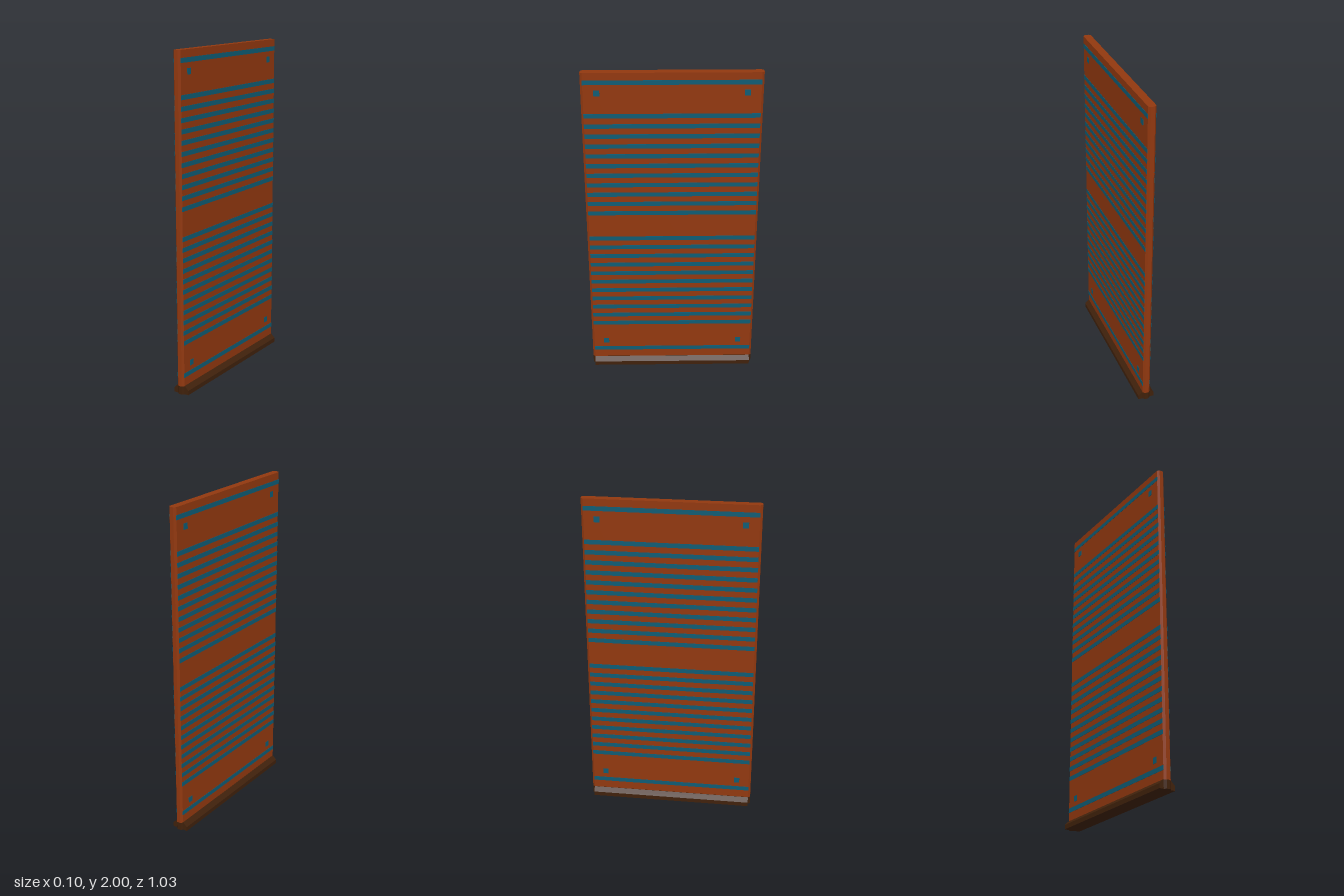
import * as THREE from 'three';

const HALF_T = 0.023, HALF_W = 0.5, TIP_Z = 0.513, TIP_X = 0.012;

export function createModel() {
  const group = new THREE.Group();
  const rust = new THREE.MeshStandardMaterial({ color: 0x92380f });
  const teal = new THREE.MeshStandardMaterial({ color: 0x0f5c74 });
  const darkBrown = new THREE.MeshStandardMaterial({ color: 0x40210b });

  const add = (name, geometry, material, x = 0, y = 0, z = 0) => {
    const mesh = new THREE.Mesh(geometry, material);
    mesh.name = name;
    mesh.position.set(x, y, z);
    group.add(mesh);
    return mesh;
  };
  const extrude = (points, depth) => new THREE.ExtrudeGeometry(
    new THREE.Shape(points.map(([a, b]) => new THREE.Vector2(a, b))),
    { depth, bevelEnabled: false });

  // Upright slab with chamfered vertical edges
  const plan = [
    [-HALF_T, -HALF_W], [-TIP_X, -TIP_Z], [TIP_X, -TIP_Z], [HALF_T, -HALF_W],
    [HALF_T, HALF_W], [TIP_X, TIP_Z], [-TIP_X, TIP_Z], [-HALF_T, HALF_W],
  ];
  const slab = (height) => extrude(plan, height).rotateX(-Math.PI / 2);
  add('panel', slab(1.95), rust, 0, 0.05, 0);
  add('panelFoot', slab(0.05), darkBrown);

  // Flared base rail along the bottom
  const rail = extrude([
    [-0.05, 0], [0.05, 0], [0.05, 0.027], [HALF_T + 0.002, 0.052],
    [-HALF_T - 0.002, 0.052], [-0.05, 0.027],
  ], 2 * HALF_W);
  add('baseRail', rail, darkBrown, 0, 0, -HALF_W);

  // Inlaid stripes and corner marks on both faces
  const stripeHeights = [1.943, 0.117];
  for (let i = 0; i < 11; i++) {
    stripeHeights.push(1.742 - i * 0.0626, 0.941 - i * 0.0624);
  }
  const stripe = new THREE.BoxGeometry(0.003, 0.027, 2 * HALF_W + 0.002);
  const mark = new THREE.BoxGeometry(0.003, 0.035, 0.034);
  for (const side of [-1, 1]) {
    const x = side * HALF_T;
    for (const y of stripeHeights) add('stripe', stripe, teal, x, y, 0);
    for (const y of [0.177, 1.88]) {
      for (const z of [-0.423, 0.423]) add('cornerMark', mark, teal, x, y, z);
    }
  }
  return group;
}
